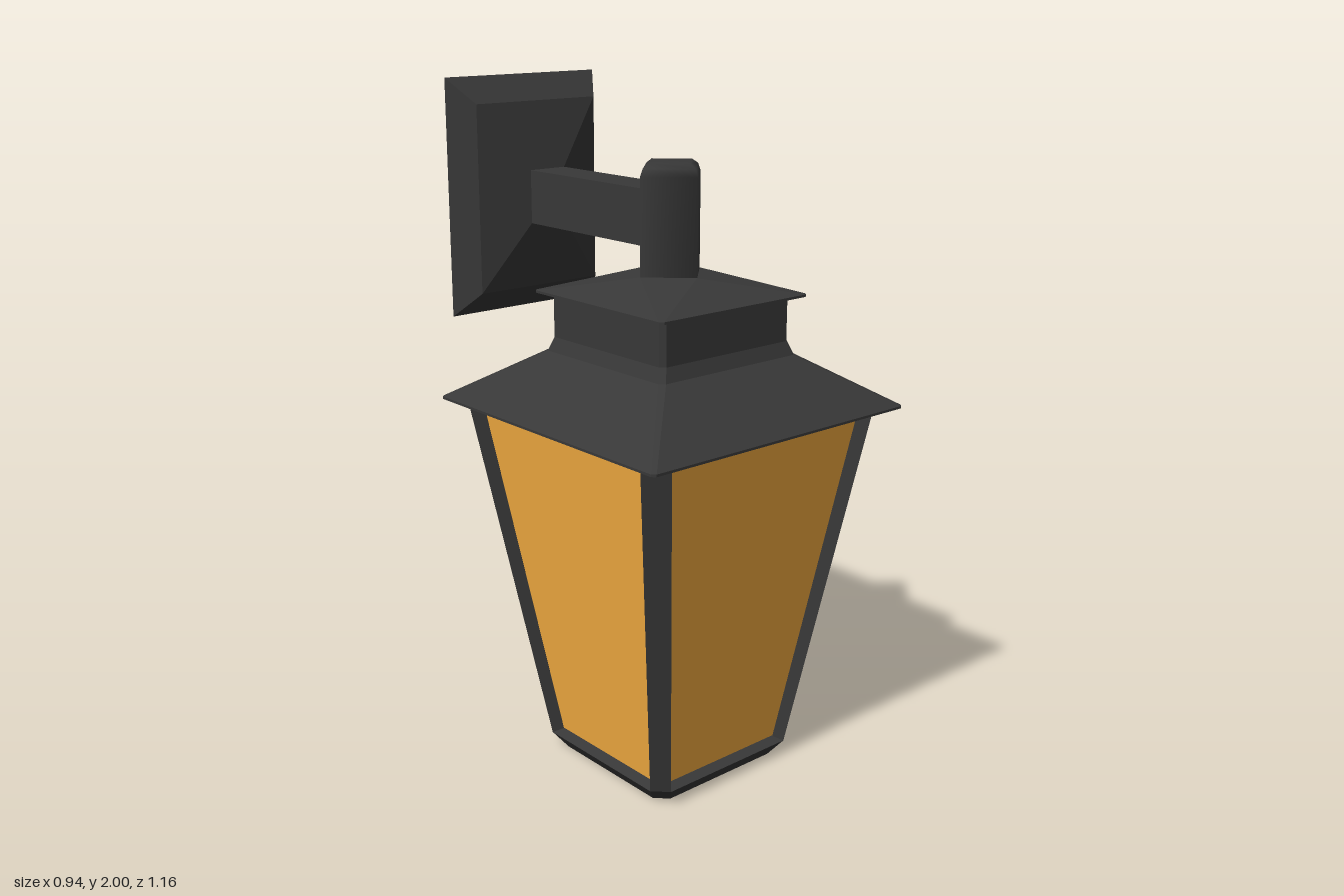
import * as THREE from 'three';

const metal = new THREE.MeshStandardMaterial({ color: 0x383838, flatShading: true });
const smoothMetal = new THREE.MeshStandardMaterial({ color: 0x383838 });
const glass = new THREE.MeshStandardMaterial({ color: 0xfab042, side: THREE.DoubleSide });
const CZ = 0.107; // lantern axis, in front of the wall plate

// Skin a stack of equal-length loops and close both ends.
function loft(name, rings) {
  const pos = [];
  const tri = (...pts) => pts.forEach((p) => pos.push(...p));
  const n = rings[0].length;
  for (let i = 0; i + 1 < rings.length; i++) {
    const a = rings[i], b = rings[i + 1];
    for (let j = 0; j < n; j++) {
      const k = (j + 1) % n;
      tri(a[j], a[k], b[k]);
      tri(a[j], b[k], b[j]);
    }
  }
  const first = rings[0], last = rings[rings.length - 1];
  for (let j = 1; j + 1 < n; j++) {
    tri(first[0], first[j + 1], first[j]);
    tri(last[0], last[j], last[j + 1]);
  }
  const geo = new THREE.BufferGeometry();
  geo.setAttribute('position', new THREE.Float32BufferAttribute(pos, 3));
  geo.computeVertexNormals();
  const mesh = new THREE.Mesh(geo, metal);
  mesh.name = name;
  return mesh;
}

// Horizontal square of half width h with corners cut by c (c = h gives a diamond).
function square([y, h, c]) {
  const d = h - c;
  return [[-d, h], [d, h], [h, d], [h, -d], [d, -h], [-d, -h], [-h, -d], [-h, d]]
    .map(([x, z]) => [x, y, z]);
}

// Section of a corner post: outer chamfer a-b, inner edge w-q where the panes meet it.
function postSection([y, a, b, w, q]) {
  return [[a, y, b], [b, y, a], [q, y, w], [w, y, q]];
}

// Upright rectangle at depth z.
function rect([z, hx, y0, y1]) {
  return [[-hx, y0, z], [hx, y0, z], [hx, y1, z], [-hx, y1, z]];
}

export function createModel() {
  const group = new THREE.Group();
  const lantern = new THREE.Group();
  lantern.name = 'lantern';
  lantern.position.z = CZ;
  group.add(lantern);
  const stack = (name, rows) => lantern.add(loft(name, rows.map(square)));

  // Bevelled base
  stack('base', [[0, 0.235, 0.036], [0.05, 0.272, 0.042], [0.06, 0.24, 0.03]]);

  for (let i = 0; i < 4; i++) {
    // Leaning corner post standing proud of the glass
    const post = loft('cornerPost', [[0.05, 0.23, 0.272, 0.213, 0.239],
      [1.11, 0.381, 0.438, 0.362, 0.4]].map(postSection));
    post.rotation.y = i * Math.PI / 2;
    lantern.add(post);

    // Tapered amber pane, set back between the posts
    const geo = new THREE.PlaneGeometry(1, 1);
    const p = geo.attributes.position;
    for (let v = 0; v < 4; v++) {
      const top = p.getY(v) > 0;
      const half = top ? 0.365 : 0.216;
      p.setXYZ(v, Math.sign(p.getX(v)) * half, top ? 1.11 : 0.055, top ? 0.4 : 0.239);
    }
    geo.computeVertexNormals();
    const pane = new THREE.Mesh(geo, glass);
    pane.name = 'glassPane';
    pane.rotation.y = i * Math.PI / 2;
    lantern.add(pane);
  }

  // Flared roof running into a square neck
  stack('roof', [[1.108, 0.472, 0.01], [1.115, 0.472, 0.01], [1.26, 0.255, 0.015],
    [1.3, 0.24, 0.014], [1.43, 0.24, 0.014]]);
  // Cap that turns from a square into the diamond of the post
  stack('neckCap', [[1.427, 0.274, 0.01], [1.434, 0.274, 0.01], [1.49, 0.112, 0.112]]);

  // Four-sided hanger post with a softly rounded top
  const profile = [[0.112, 1.48], [0.112, 1.765], [0.102, 1.787], [0.08, 1.8], [0, 1.8]];
  const hanger = new THREE.Mesh(
    new THREE.LatheGeometry(profile.map(([r, y]) => new THREE.Vector2(r, y)), 4), smoothMetal);
  hanger.name = 'hangerPost';
  lantern.add(hanger);

  // Arm to the wall
  const arm = new THREE.Mesh(new THREE.BoxGeometry(0.126, 0.16, 0.53), metal);
  arm.name = 'arm';
  arm.position.set(0, 1.645, -0.205);
  group.add(arm);

  // Wall plate, stepping in towards the arm
  group.add(loft('wallPlate', [[-0.58, 0.277, 1.285, 2], [-0.503, 0.22, 1.36, 1.925],
    [-0.455, 0.063, 1.565, 1.725]].map(rect)));

  return group;
}
